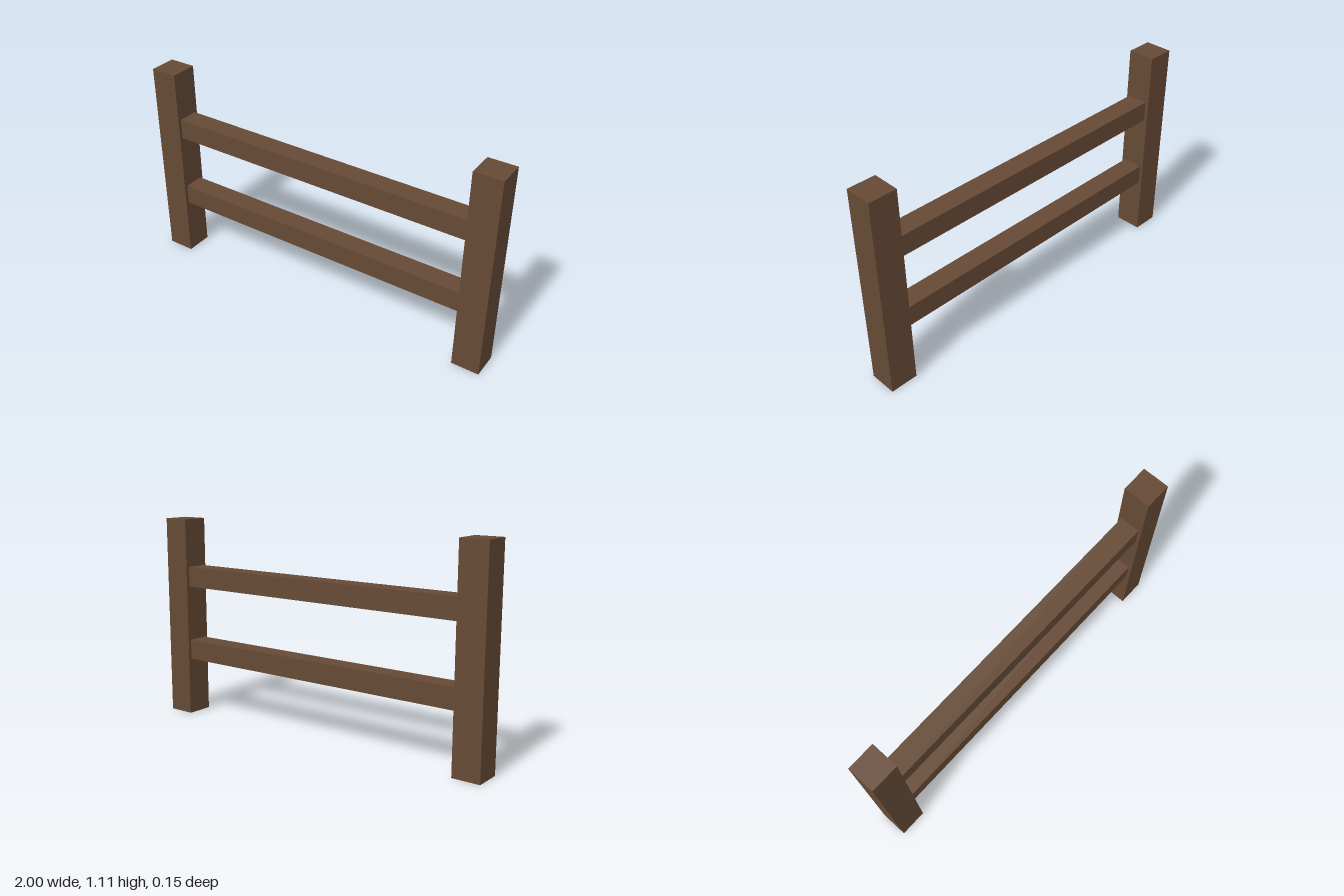
import * as THREE from 'three';

export function createModel() {
  const group = new THREE.Group();
  const wood = new THREE.MeshStandardMaterial({ color: 0x664a35 });
  const postSize = 0.148, postHeight = 1.111, railSize = 0.111;

  const addBeam = (name, w, h, d, x, y) => {
    const beam = new THREE.Mesh(new THREE.BoxGeometry(w, h, d), wood);
    beam.name = name;
    beam.position.set(x, y, 0);
    group.add(beam);
  };

  // Square end posts
  for (const [name, side] of [['leftPost', 1], ['rightPost', -1]]) {
    addBeam(name, postSize, postHeight, postSize, side * (1 - postSize / 2), postHeight / 2);
  }

  // Horizontal rails spanning between the posts
  for (const [name, y] of [['lowerRail', 0.373], ['upperRail', 0.79]]) {
    addBeam(name, 2 - 2 * postSize, railSize, railSize, 0, y);
  }

  return group;
}
